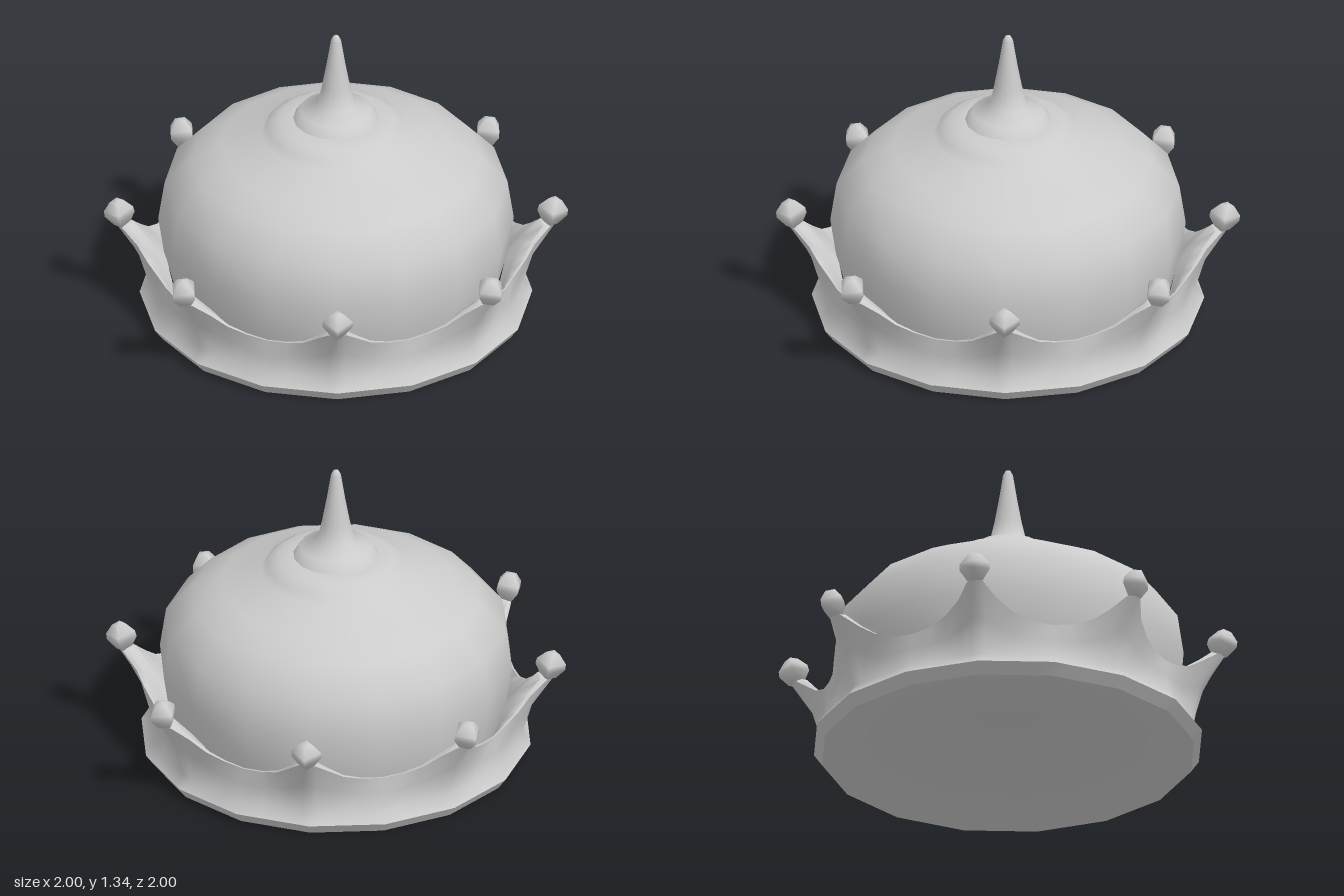
import * as THREE from 'three';
import { toCreasedNormals } from 'three/addons/utils/BufferGeometryUtils.js';

const SPIKES = 8;
const STEP = Math.PI / 8; // angle from a spike to the next valley
const mat = new THREE.MeshStandardMaterial({ color: 0xcccccc });

function add(parent, name, geometry) {
  const mesh = new THREE.Mesh(geometry, mat);
  mesh.name = name;
  parent.add(mesh);
  return mesh;
}

function lathe(points, sides) {
  return new THREE.LatheGeometry(points.map(([r, y]) => new THREE.Vector2(r, y)), sides);
}

// Edge of the band from a spike (t = 0) to a valley (t = 1):
// t, height, outer radius, inner radius
const EDGE = [
  [0, 0.4, 0.95, 0.875],
  [0.1, 0.39, 0.925, 0.9],
  [0.25, 0.335, 0.872, 0.855],
  [0.45, 0.288, 0.842, 0.83],
  [0.7, 0.26, 0.812, 0.803],
  [1, 0.25, 0.792, 0.785],
];

// Cross-section of the band: up the outside, over the edge, down the inside
function section([, top, outer, inner]) {
  const s = (top - 0.25) / 0.15;
  const mix = (a, b) => a + (b - a) * s;
  return [
    [0.81, 0], [0.845, 0.05], [0.807, 0.1],
    [mix(0.8, 0.852), mix(0.175, 0.25)],
    [outer, top],
    [inner, top + 0.01 * s],
    [mix(0.76, 0.8), mix(0.2, 0.32)],
    [mix(0.72, 0.735), mix(0.12, 0.24)],
  ];
}

function bandGeometry() {
  const period = [
    ...EDGE.slice(1, -1).reverse().map(([t, ...rest]) => [-t, ...rest]),
    ...EDGE,
  ];
  const pos = [];
  const index = [];
  const rings = 8;
  for (let k = 0; k < SPIKES; k++) {
    for (const row of period) {
      const t = row[0];
      const a = (2 * k + t) * STEP;
      // keeps the wall on a 16-sided plan
      const flat = Math.cos(STEP / 2) / Math.cos(Math.abs(t) * STEP - STEP / 2);
      for (const [r, y] of section(row)) {
        pos.push(r * flat * Math.sin(a), y, r * flat * Math.cos(a));
      }
    }
  }
  const columns = SPIKES * period.length;
  for (let c = 0; c < columns; c++) {
    const p = c * rings;
    const q = ((c + 1) % columns) * rings;
    for (let j = 0; j < rings - 1; j++) {
      index.push(p + j, q + j, q + j + 1, p + j, q + j + 1, p + j + 1);
    }
  }
  const g = new THREE.BufferGeometry();
  g.setAttribute('position', new THREE.Float32BufferAttribute(pos, 3));
  g.setIndex(index);
  return toCreasedNormals(g, 1.05);
}

export function createModel() {
  const crown = new THREE.Group();
  crown.name = 'crown';

  // Scalloped band and the hollow underside
  add(crown, 'band', bandGeometry());
  add(crown, 'underside', lathe([
    [0, 0.17], [0.2, 0.16], [0.45, 0.12], [0.65, 0.065], [0.81, 0],
  ], 16));

  // Puffed cap inside the band
  add(crown, 'cushion', lathe([
    [0.7, 0.1], [0.74, 0.25], [0.765, 0.42], [0.738, 0.6], [0.625, 0.725],
    [0.5, 0.79], [0.325, 0.85], [0.3, 0.885], [0.25, 0.915], [0.18, 0.926], [0, 0.926],
  ], 16));

  // Button drawn up into a spike
  add(crown, 'finial', lathe([
    [0.185, 0.925], [0.155, 0.968], [0.08, 1.0], [0.06, 1.09],
    [0.04, 1.2], [0.022, 1.315], [0.012, 1.336], [0, 1.342],
  ], 16));

  // Four-sided knobs on the band's points
  const knob = lathe([
    [0, -0.064], [0.034, -0.06], [0.066, -0.012], [0.064, 0.016], [0.03, 0.056], [0, 0.062],
  ], 4);
  for (let k = 0; k < SPIKES; k++) {
    const arm = new THREE.Group();
    arm.name = 'point' + (k + 1);
    arm.rotation.y = k * 2 * STEP;
    crown.add(arm);
    const ball = add(arm, 'knob', knob);
    ball.position.set(0, 0.453, 0.933);
    ball.rotation.x = 0.2;
  }
  return crown;
}
